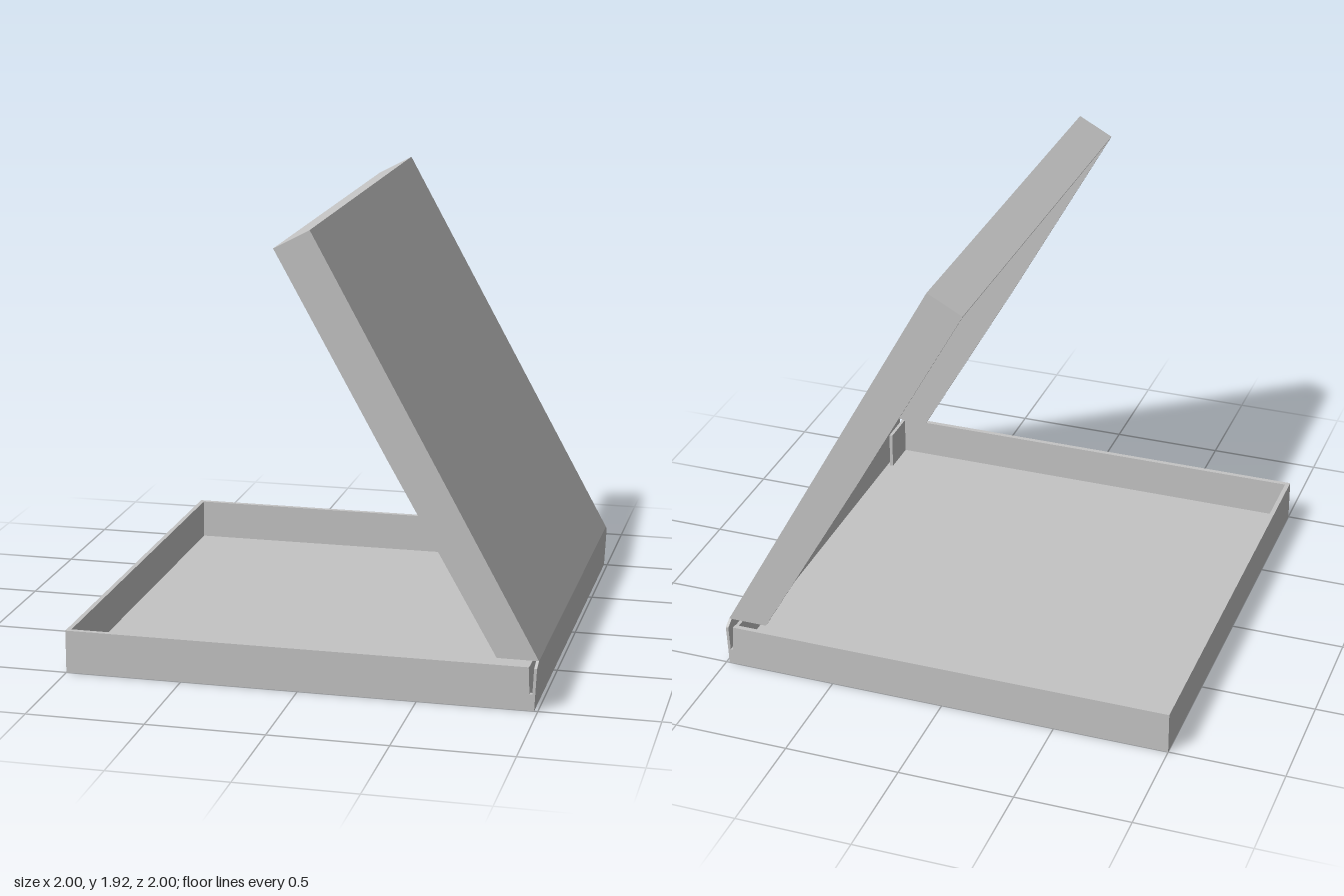
import * as THREE from 'three';

export function createModel() {
  const group = new THREE.Group();
  const card = new THREE.MeshStandardMaterial({ color: 0xc4c4c4 });
  card.name = 'grey card';

  const add = (name, geometry) => {
    const mesh = new THREE.Mesh(geometry, card);
    mesh.name = name;
    group.add(mesh);
  };
  // Box given by its minimum and maximum on each axis
  const box = (name, x0, x1, y0, y1, z0, z1) => {
    const g = new THREE.BoxGeometry(x1 - x0, y1 - y0, z1 - z0);
    add(name, g.translate((x0 + x1) / 2, (y0 + y1) / 2, (z0 + z1) / 2));
  };
  // Side outline (x, y) extruded from z0 to z1
  const slab = (name, points, z0, z1) => {
    const shape = new THREE.Shape(points.map(([x, y]) => new THREE.Vector2(x, y)));
    const g = new THREE.ExtrudeGeometry(shape, { depth: z1 - z0, bevelEnabled: false });
    add(name, g.translate(0, 0, z0));
  };

  // Base tray: floor and walls of folded card
  box('floor', -0.99, 0.98, 0, 0.012, -0.99, 0.99);
  box('frontWall', -1, -0.98, 0, 0.185, -1, 1);
  for (const s of [-1, 1]) {
    const span = (a, b) => [Math.min(s * a, s * b), Math.max(s * a, s * b)];
    // Side wall, notched beside the hinge corner
    slab('sideWall', [[-0.98, 0], [0.98, 0], [0.983, 0.07], [0.965, 0.07],
      [0.96, 0.185], [-0.98, 0.185]], ...span(0.978, 1));
    // Tuck flap folded in behind the hinge wall
    box('tuckFlap', 0.945, 0.96, 0.012, 0.18, ...span(0.81, 0.978));
  }

  // Hinge wall: leans out slightly, its top corners are clipped
  const hinge = new THREE.Shape([[-1, 0], [1, 0], [1, 0.18], [0.96, 0.2], [-0.96, 0.2], [-1, 0.18]]
    .map(([z, y]) => new THREE.Vector2(z, y)));
  const hingeGeometry = new THREE.ExtrudeGeometry(hinge, { depth: 0.012, bevelEnabled: false });
  hingeGeometry.rotateY(Math.PI / 2).translate(0.973, 0, 0);
  const p = hingeGeometry.attributes.position;
  for (let i = 0; i < p.count; i++) p.setX(i, p.getX(i) + 0.05 * p.getY(i));
  hingeGeometry.computeVertexNormals();
  add('hingeWall', hingeGeometry);

  // Open lid: hollow tray tilted back over the base
  slab('lidPanel', [[0.981, 0.2], [0.995, 0.2], [0.05, 1.92], [0.039, 1.914]], -0.96, 0.96);
  slab('lidEndWall', [[0.05, 1.92], [-0.1, 1.84], [-0.094, 1.829], [0.056, 1.909]], -0.96, 0.96);
  for (const z of [-0.96, 0.948]) {
    slab('lidSideWall', [[0.822, 0.2], [0.995, 0.2], [0.05, 1.92], [-0.1, 1.84], [0.366, 1]], z, z + 0.012);
  }
  return group;
}
